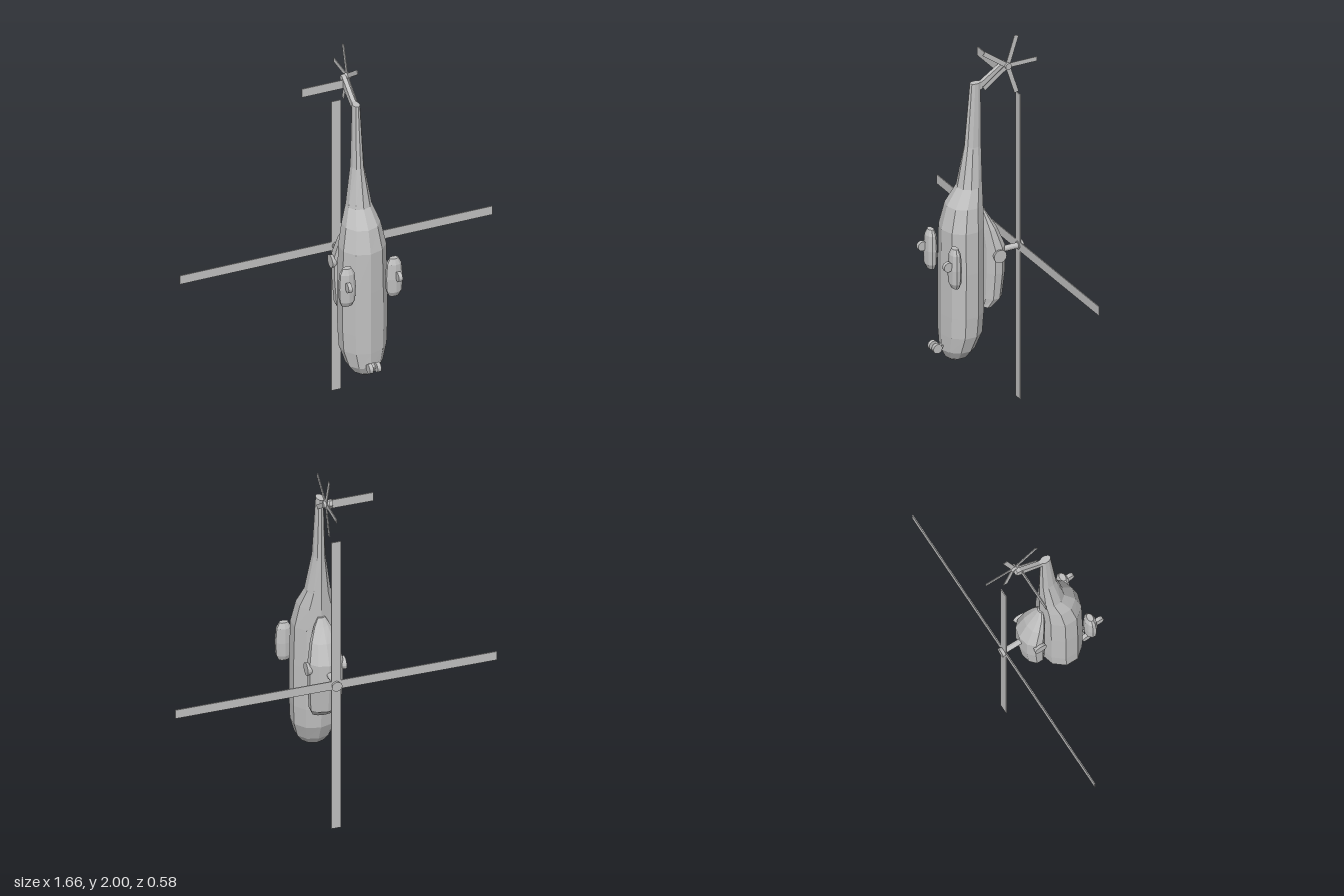
import * as THREE from 'three';

const SIDES = 10;

// Closed loft through elliptical rings: [y, zFront, zBack, halfWidth, xCentre]
function loft(rings) {
  const pos = [], idx = [], k = 1 / Math.cos(Math.PI / SIDES);
  for (const [y, zf, zb, w, cx = 0] of rings) {
    for (let i = 0; i < SIDES; i++) {
      const a = Math.PI / SIDES + (i * 2 * Math.PI) / SIDES;
      pos.push(cx + w * k * Math.cos(a), y, (zf + zb) / 2 + ((zf - zb) / 2) * Math.sin(a));
    }
  }
  const last = rings.length - 1;
  for (let r = 0; r < last; r++) {
    for (let i = 0; i < SIDES; i++) {
      const j = (i + 1) % SIDES, a = r * SIDES, b = a + SIDES;
      idx.push(a + i, b + i, a + j, a + j, b + i, b + j);
    }
  }
  // end caps
  for (const r of [0, last]) {
    const [y, zf, zb, , cx = 0] = rings[r];
    const c = pos.length / 3;
    pos.push(cx, y, (zf + zb) / 2);
    for (let i = 0; i < SIDES; i++) {
      const p = r * SIDES + i, q = r * SIDES + ((i + 1) % SIDES);
      if (r === 0) idx.push(c, p, q);
      else idx.push(c, q, p);
    }
  }
  const g = new THREE.BufferGeometry();
  g.setAttribute('position', new THREE.Float32BufferAttribute(pos, 3));
  g.setIndex(idx);
  g.computeVertexNormals();
  return g;
}

export function createModel() {
  const model = new THREE.Group();
  model.name = 'helicopter';
  const grey = new THREE.MeshStandardMaterial({ color: 0xc0c0c0, flatShading: true });
  grey.name = 'light grey';

  const add = (name, geo, x = 0, y = 0, z = 0, parent = model) => {
    const m = new THREE.Mesh(geo, grey);
    m.name = name;
    m.position.set(x, y, z);
    parent.add(m);
    return m;
  };
  const xCylinder = (rOuter, rInner, len, n = 16) =>
    new THREE.CylinderGeometry(rInner, rOuter, len, n).rotateZ(Math.PI / 2);

  // Fuselage, nose down, narrowing into the tail boom
  add('fuselage', loft([
    [0.303, 0.185, 0.125, 0.025],
    [0.322, 0.208, 0.088, 0.06],
    [0.365, 0.23, 0.055, 0.09],
    [0.45, 0.233, 0.02, 0.114],
    [0.56, 0.233, 0.012, 0.119],
    [0.8, 0.233, 0.01, 0.119],
    [1.02, 0.23, 0.01, 0.114],
    [1.14, 0.2, 0.01, 0.092],
    [1.23, 0.142, 0.01, 0.062],
    [1.44, 0.103, 0.01, 0.031],
    [1.78, 0.072, 0.012, 0.018],
  ]));

  // Engine housing on the back
  add('engineHousing', loft([
    [0.56, 0.02, -0.037, 0.055],
    [0.61, 0.02, -0.092, 0.077],
    [0.75, 0.02, -0.109, 0.085],
    [0.885, 0.02, -0.109, 0.085],
    [0.986, 0.025, -0.066, 0.066],
    [1.06, 0.025, -0.02, 0.04],
    [1.1, 0.025, 0.002, 0.018],
  ]));

  // Mirrored exhausts, sponsons and wheels
  for (const s of [1, -1]) {
    const side = s > 0 ? 'left' : 'right';
    const flare = s > 0 ? xCylinder(0.026, 0.035, 0.035) : xCylinder(0.035, 0.026, 0.035);
    // the wide end faces outward
    if (s > 0) flare.rotateY(Math.PI);
    else flare.rotateY(Math.PI);
    add(side + 'Exhaust', flare, s * 0.083, 0.85, -0.045);

    const cx = s * 0.125;
    add(side + 'Sponson', loft([
      [0.757, 0.24, 0.204, 0.027, cx],
      [0.785, 0.254, 0.194, 0.039, cx],
      [0.86, 0.256, 0.192, 0.043, cx],
      [0.94, 0.25, 0.196, 0.037, cx],
      [0.97, 0.238, 0.208, 0.022, cx],
    ]));
    add(side + 'MainWheel', xCylinder(0.025, 0.025, 0.02), s * 0.134, 0.882, 0.267);
    add(side + 'NoseWheel', xCylinder(0.025, 0.025, 0.02), s * 0.021, 0.388, 0.266);
  }
  add('noseStrut', new THREE.BoxGeometry(0.03, 0.01, 0.06), 0, 0.388, 0.238);

  // Main rotor
  const rotor = new THREE.Group();
  rotor.name = 'mainRotor';
  rotor.position.set(-0.003, 0.832, 0);
  model.add(rotor);
  add('mast', new THREE.CylinderGeometry(0.015, 0.015, 0.12, 12).rotateX(Math.PI / 2), 0, 0, -0.15, rotor);
  add('hub', new THREE.CylinderGeometry(0.021, 0.027, 0.026, 12).rotateX(Math.PI / 2), 0, 0, -0.207, rotor);
  for (let i = 0; i < 4; i++) {
    const blade = new THREE.BoxGeometry(0.832, 0.049, 0.005).translate(0.416, 0, -0.2);
    add('mainBlade', blade.rotateZ((i * Math.PI) / 2), 0, 0, 0, rotor);
  }

  // Tail pylon: side profile in (-z, y), extruded across x
  const profile = new THREE.Shape([[-0.03, 1.74], [-0.015, 1.74], [0.12, 1.815], [0.135, 1.835],
    [0.125, 1.858], [0.105, 1.855], [-0.01, 1.78], [-0.03, 1.78]].map(p => new THREE.Vector2(...p)));
  const pylon = new THREE.ExtrudeGeometry(profile, { depth: 0.022, bevelEnabled: false });
  add('tailPylon', pylon.translate(0, 0, -0.011).rotateY(Math.PI / 2));
  add('stabilizer', new THREE.BoxGeometry(0.23, 0.048, 0.005), -0.115, 1.82, -0.097);

  // Tail rotor
  const tail = new THREE.Group();
  tail.name = 'tailRotor';
  tail.position.set(0.024, 1.843, -0.125);
  model.add(tail);
  add('tailHub', xCylinder(0.017, 0.017, 0.03, 12), 0, 0, 0, tail);
  for (let i = 0; i < 5; i++) {
    const blade = new THREE.BoxGeometry(0.004, 0.024, 0.163).translate(0, 0, -0.0815);
    add('tailBlade', blade.rotateX((i * 2 * Math.PI) / 5), 0, 0, 0, tail);
  }
  return model;
}
